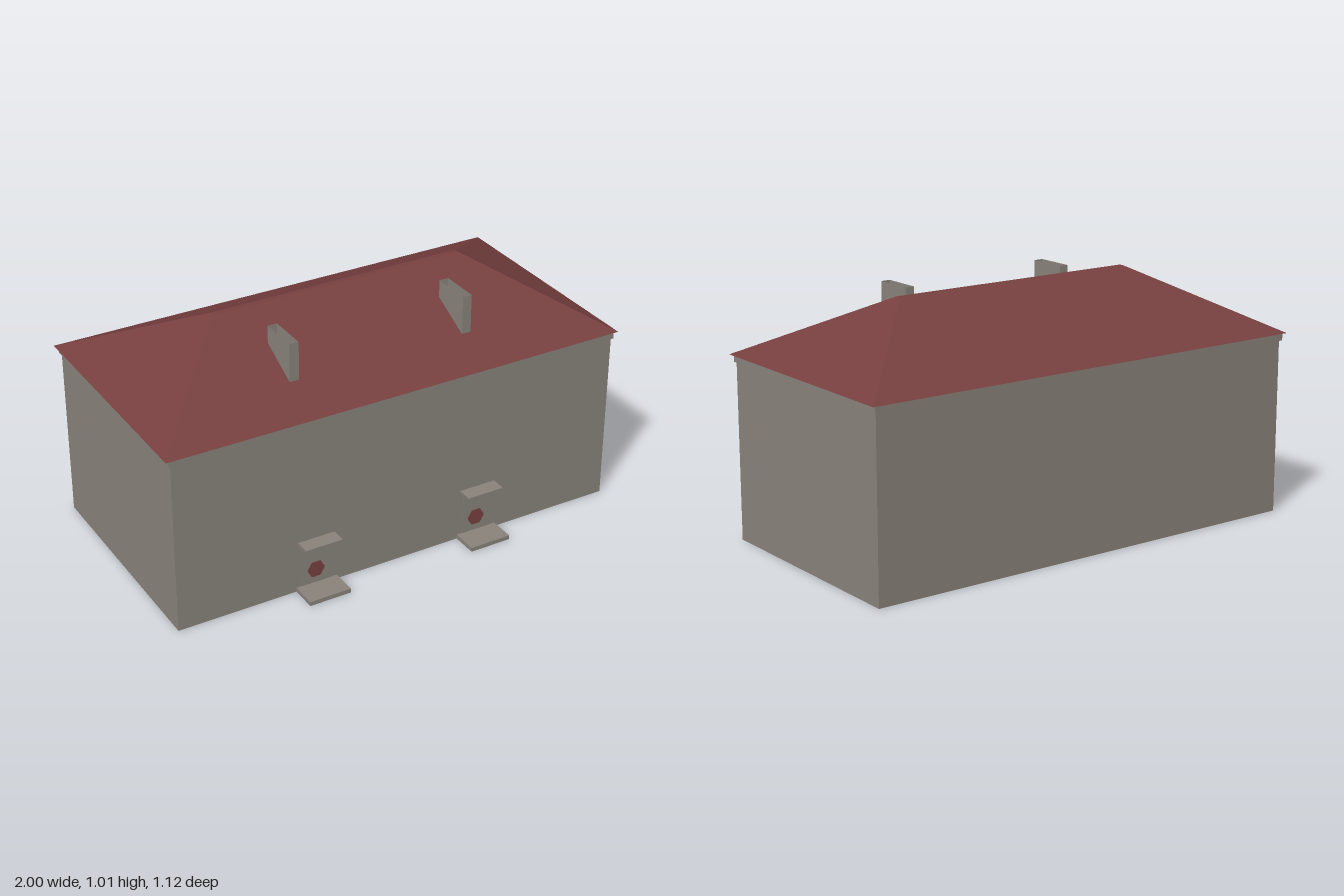
import * as THREE from 'three';

export function createModel() {
  const group = new THREE.Group();
  const wall = new THREE.MeshStandardMaterial({ color: 0x88827a });
  wall.name = 'stone grey';
  const flue = new THREE.MeshStandardMaterial({ color: 0x88827a, side: THREE.DoubleSide });
  flue.name = 'chimney grey';
  const red = new THREE.MeshStandardMaterial({ color: 0x763f3f });
  red.name = 'roof red';

  const add = (name, geometry, material) => {
    const mesh = new THREE.Mesh(geometry, material);
    mesh.name = name;
    group.add(mesh);
    return mesh;
  };
  // Box given by its limits on each axis
  const box = (name, [x0, x1], [y0, y1], [z0, z1], material) => {
    const geometry = new THREE.BoxGeometry(x1 - x0, y1 - y0, z1 - z0);
    geometry.translate((x0 + x1) / 2, (y0 + y1) / 2, (z0 + z1) / 2);
    return add(name, geometry, material);
  };

  box('walls', [-0.977, 0.977], [0, 0.73], [-0.535, 0.45], wall);
  box('cornice', [-0.985, 0.985], [0.725, 0.755], [-0.545, 0.456], wall);

  // Hipped roof: a box whose upper corners move in to a narrow flat ridge
  const roof = new THREE.BoxGeometry(2, 1, 1).toNonIndexed();
  const p = roof.attributes.position;
  for (let i = 0; i < p.count; i++) {
    const top = p.getY(i) > 0, front = p.getZ(i) > 0;
    p.setXYZ(i, Math.sign(p.getX(i)) * (top ? 0.55 : 1), top ? 1.01 : 0.755,
      top ? (front ? -0.033 : -0.055) : (front ? 0.465 : -0.555));
  }
  roof.computeVertexNormals();
  add('roof', roof, red);

  // Chimneys: open shafts without a cap
  const side = (w, x, z, turn) => {
    const g = new THREE.PlaneGeometry(w, 0.2);
    g.rotateY(turn);
    g.translate(x, 0.9, z);
    return g;
  };
  for (const x of [-0.385, 0.38]) {
    const shaft = new THREE.Group();
    shaft.name = 'chimney';
    const sides = [
      side(0.04, x, 0.3, 0), side(0.04, x, 0.13, Math.PI),
      side(0.17, x + 0.02, 0.215, Math.PI / 2), side(0.17, x - 0.02, 0.215, -Math.PI / 2),
    ];
    for (const g of sides) {
      const mesh = new THREE.Mesh(g, flue);
      mesh.name = 'chimneySide';
      shaft.add(mesh);
    }
    group.add(shaft);
  }

  // Entrances: step, door, canopy and a lumpy round wreath
  const lumpy = new THREE.Shape(Array.from({ length: 24 }, (_, i) => {
    const a = i / 24 * Math.PI * 2;
    const r = 0.035 + 0.0025 * Math.cos(a * 6);
    return new THREE.Vector2(r * Math.cos(a), r * Math.sin(a));
  }));
  for (const x of [-0.38, 0.357]) {
    box('step', [x - 0.09, x + 0.09], [0, 0.018], [0.44, 0.56], wall);
    box('door', [x - 0.065, x + 0.065], [0.018, 0.215], [0.445, 0.452], wall);
    box('canopy', [x - 0.08, x + 0.08], [0.215, 0.223], [0.44, 0.514], wall);
    const wreath = new THREE.ExtrudeGeometry(lumpy, { depth: 0.004, bevelEnabled: false });
    wreath.translate(x - 0.004, 0.08, 0.451);
    add('wreath', wreath, red);
  }
  return group;
}
